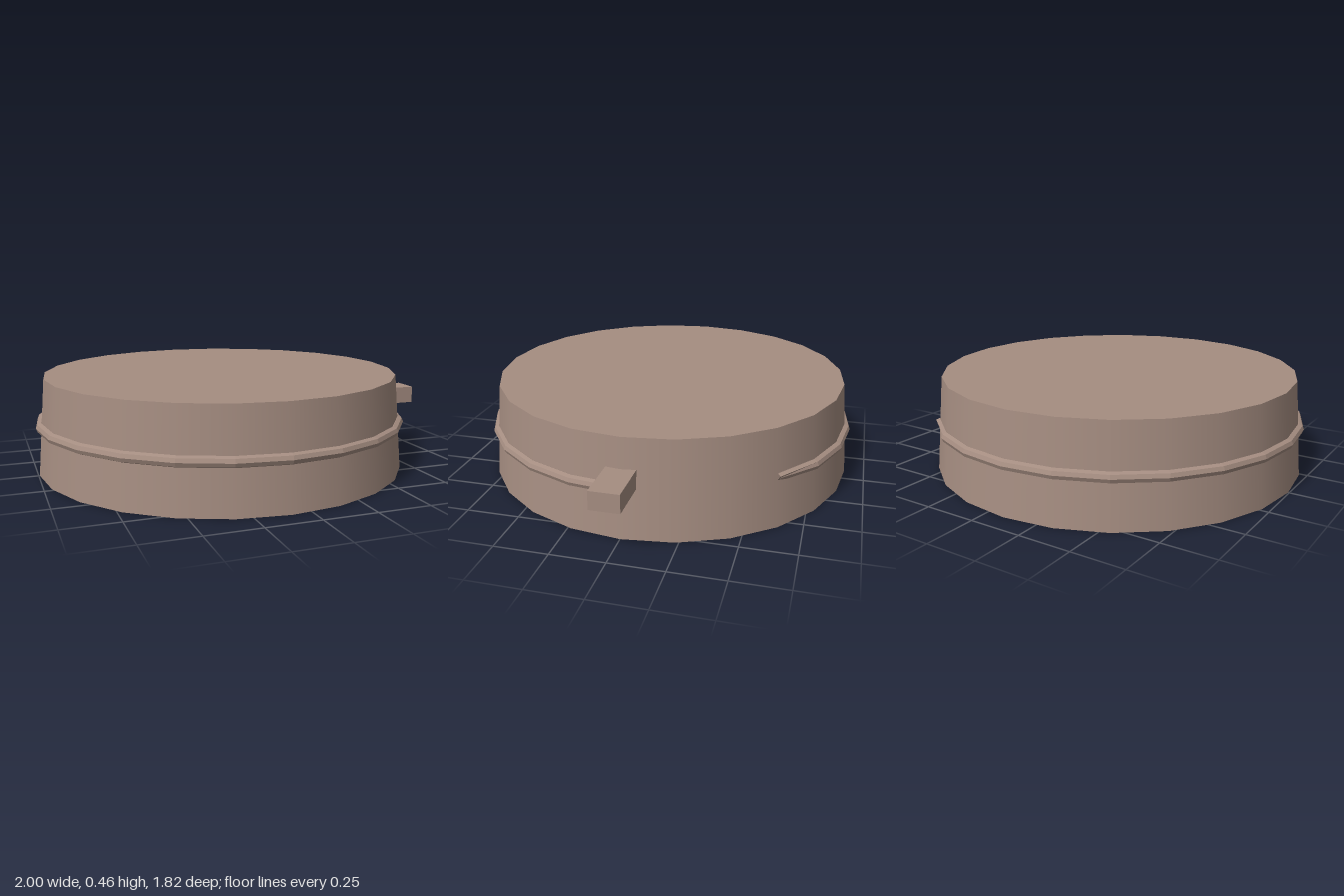
import * as THREE from 'three';

const CENTER_X = -0.09;
const HEIGHT = 0.46;

// Faceted copy of a geometry
function faceted(geometry) {
  const flat = geometry.toNonIndexed();
  flat.computeVertexNormals();
  return flat;
}

export function createModel() {
  const group = new THREE.Group();
  const clay = new THREE.MeshStandardMaterial({ color: 0xa58d81 });
  clay.name = 'dusty brown';

  const add = (name, geometry, x, y, z) => {
    const mesh = new THREE.Mesh(geometry, clay);
    mesh.name = name;
    mesh.position.set(x, y, z);
    group.add(mesh);
  };

  // Tapered drum with 24 sides
  const drum = new THREE.CylinderGeometry(0.865, 0.905, HEIGHT, 24);
  add('drum', drum, CENTER_X, HEIGHT / 2, 0);

  // Raised band, running from the peg round the front, left and back
  const band = new THREE.TorusGeometry(0.886, 0.025, 8, 21, Math.PI * 1.75);
  band.rotateX(Math.PI / 2);
  // Sink the lower half of the far end into the drum
  const p = band.attributes.position;
  for (let i = 0; i < p.count; i++) {
    const x = p.getX(i), y = p.getY(i), z = p.getZ(i);
    if (Math.abs(Math.atan2(z, x) + Math.PI / 4) < 0.01 && y < 0.01) {
      p.setXYZ(i, x * 0.975, y, z * 0.975);
    }
  }
  add('band', faceted(band), CENTER_X, 0.23, 0);

  // Square peg on the left side
  add('peg', new THREE.BoxGeometry(0.24, 0.085, 0.135), 0.88, 0.277, 0);

  return group;
}
